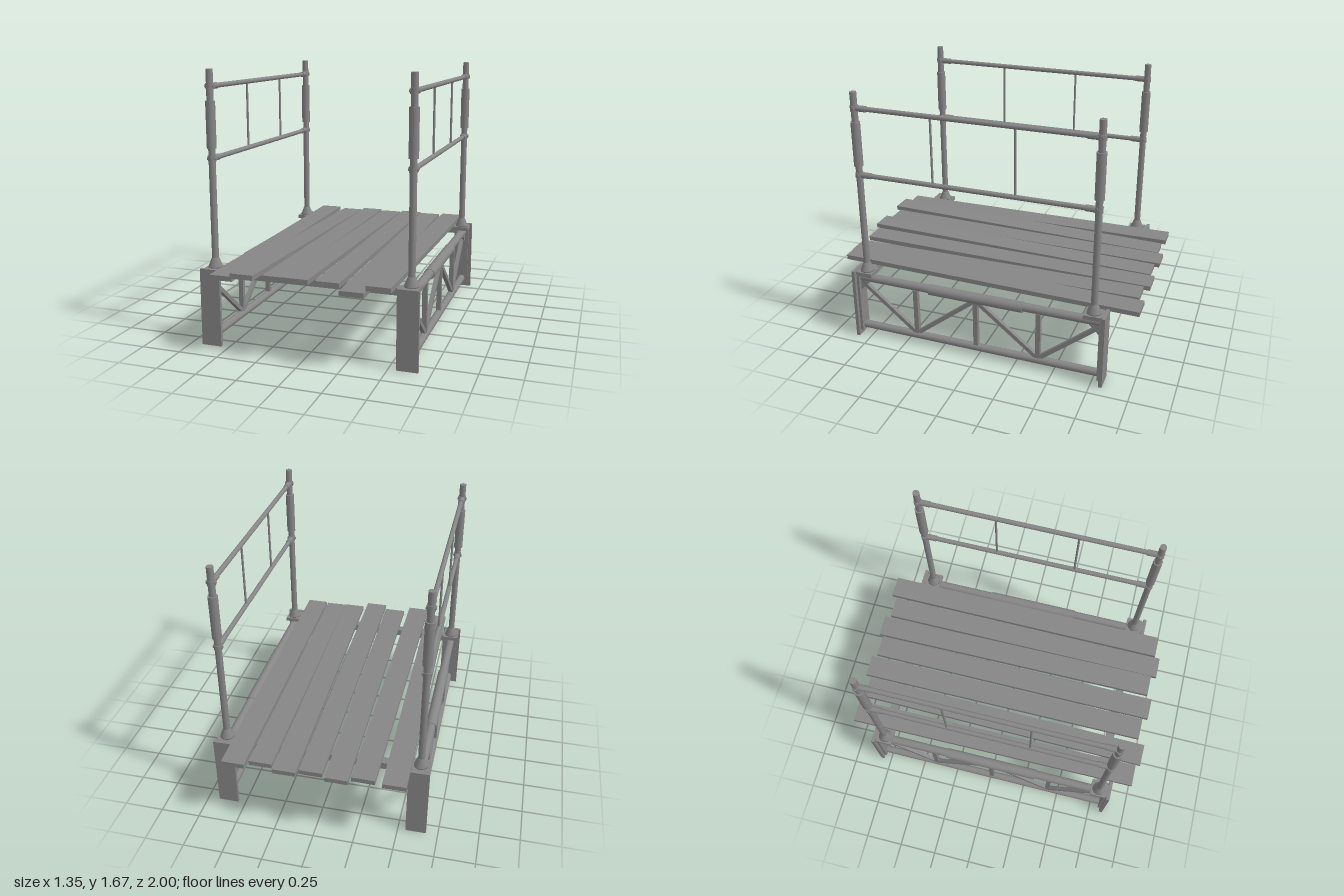
import * as THREE from 'three';

const material = new THREE.MeshStandardMaterial({ color: 0x868686 });
const V = (x, y, z) => new THREE.Vector3(x, y, z);
const UP = V(0, 1, 0);
const CZ = 0.012; // middle of the frame along z

function add(parent, name, geometry, x = 0, y = 0, z = 0) {
  const mesh = new THREE.Mesh(geometry, material);
  mesh.name = name;
  mesh.position.set(x, y, z);
  parent.add(mesh);
  return mesh;
}

function box(parent, name, w, h, d, x, y, z) {
  return add(parent, name, new THREE.BoxGeometry(w, h, d), x, y, z);
}

// Round bar between two points
function tube(parent, name, a, b, r, sides = 16) {
  const mesh = add(parent, name, new THREE.CylinderGeometry(r, r, a.distanceTo(b), sides));
  mesh.position.copy(a).add(b).multiplyScalar(0.5);
  mesh.quaternion.setFromUnitVectors(UP, b.clone().sub(a).normalize());
}

// Square bar between two points in the y-z plane
function strut(parent, name, a, b, w) {
  const mesh = box(parent, name, w, a.distanceTo(b), w, 0, 0, 0);
  mesh.position.copy(a).add(b).multiplyScalar(0.5);
  mesh.rotation.x = Math.atan2(b.z - a.z, b.y - a.y);
}

// Upright post with flared foot, sleeve and rail collars
function createPost(end) {
  const post = new THREE.Group();
  post.name = 'post';
  tube(post, 'postTube', V(0, 0.47, 0), V(0, 1.665, 0), 0.021);
  tube(post, 'postSleeve', V(0, 1.2, 0), V(0, 1.48, 0), 0.029);
  box(post, 'basePlate', 0.105, 0.026, 0.108, 0, 0.463, 0);
  const flare = [[0.001, 0.474], [0.045, 0.474], [0.043, 0.483], [0.024, 0.53], [0.021, 0.535]];
  add(post, 'flaredFoot', new THREE.LatheGeometry(flare.map(p => new THREE.Vector2(...p)), 16));
  for (const y of [1.14, 1.565]) {
    tube(post, 'railCollar', V(0, y - 0.017, 0), V(0, y + 0.017, 0), 0.025);
    tube(post, 'collarBolt', V(-0.029, y, 0), V(0.029, y, 0), 0.011, 10);
    tube(post, 'railSocket', V(0, y, 0), V(0, y, -end * 0.08), 0.019);
  }
  return post;
}

// Triangular corner gusset lying in the y-z plane
function gusset(parent, end) {
  const s = new THREE.Shape();
  s.moveTo(0, 0);
  s.lineTo(0, -0.07);
  s.lineTo(0.07, 0);
  s.closePath();
  const g = new THREE.ExtrudeGeometry(s, { depth: 0.04, bevelEnabled: false });
  g.translate(0, 0, -0.02);
  const mesh = add(parent, 'cornerGusset', g, 0, 0.4, end * 0.8);
  mesh.rotation.y = end * Math.PI / 2;
}

// One side: truss, end plates, posts and guard rail
function createSide() {
  const side = new THREE.Group();
  tube(side, 'topChord', V(0, 0.421, -0.8), V(0, 0.421, 0.8), 0.028);
  tube(side, 'chordSleeve', V(0, 0.417, -0.312), V(0, 0.417, 0.312), 0.035);
  tube(side, 'bottomChord', V(0, 0.06, -0.8), V(0, 0.06, 0.8), 0.025);

  for (const z of [-0.412, 0, 0.412]) box(side, 'trussVertical', 0.03, 0.32, 0.03, 0, 0.235, z);
  for (const e of [-1, 1]) {
    strut(side, 'trussDiagonal', V(0, 0.385, e * 0.79), V(0, 0.08, e * 0.42), 0.026);
    strut(side, 'trussDiagonal', V(0, 0.08, e * 0.405), V(0, 0.395, e * 0.01), 0.026);
    gusset(side, e);
    box(side, 'endPlate', 0.128, 0.48, 0.022, 0, 0.24, e * 0.825);
    box(side, 'innerEndPlate', 0.085, 0.445, 0.018, 0, 0.2525, e * 0.806);
    const post = createPost(e);
    post.position.z = e * 0.753;
    side.add(post);
    tube(side, 'railBaluster', V(0, 1.14, e * 0.26), V(0, 1.565, e * 0.26), 0.007, 10);
  }
  for (const y of [1.14, 1.565]) tube(side, 'guardRail', V(0, y, -0.753), V(0, y, 0.753), 0.015);
  return side;
}

// Loose plank between its back and front end, given as x, top y, z
function createPlank(parent, back, front) {
  const a = V(...back), b = V(...front);
  const g = new THREE.BoxGeometry(0.143, 0.03, a.distanceTo(b));
  g.translate(0, -0.015, 0);
  const plank = add(parent, 'plank', g);
  plank.position.copy(a).add(b).multiplyScalar(0.5);
  plank.lookAt(b);
}

export function createModel() {
  const model = new THREE.Group();
  model.name = 'footbridge';

  for (const s of [-1, 1]) {
    const side = createSide();
    side.name = s > 0 ? 'leftSide' : 'rightSide';
    side.position.set(s * 0.612, 0, CZ);
    model.add(side);
    // Cross beam carrying the deck
    box(model, 'crossBeam', 1.17, 0.045, 0.055, 0, 0.446, CZ + s * 0.753);
  }

  // Uneven deck
  const deck = new THREE.Group();
  deck.name = 'deck';
  model.add(deck);
  const planks = [
    [[-0.49, 0.498, -0.98], [-0.472, 0.493, 0.973]],
    [[-0.303, 0.493, -0.96], [-0.328, 0.522, 1.0]],
    [[-0.15, 0.496, -1.0], [-0.148, 0.514, 0.953]],
    [[0.012, 0.495, -0.97], [0.002, 0.527, 0.988]],
    [[0.167, 0.496, -1.0], [0.175, 0.514, 0.953]],
    [[0.324, 0.498, -0.963], [0.33, 0.486, 0.993]],
    [[0.485, 0.496, -1.0], [0.472, 0.516, 0.953]],
  ];
  for (const [back, front] of planks) createPlank(deck, back, front);
  return model;
}
